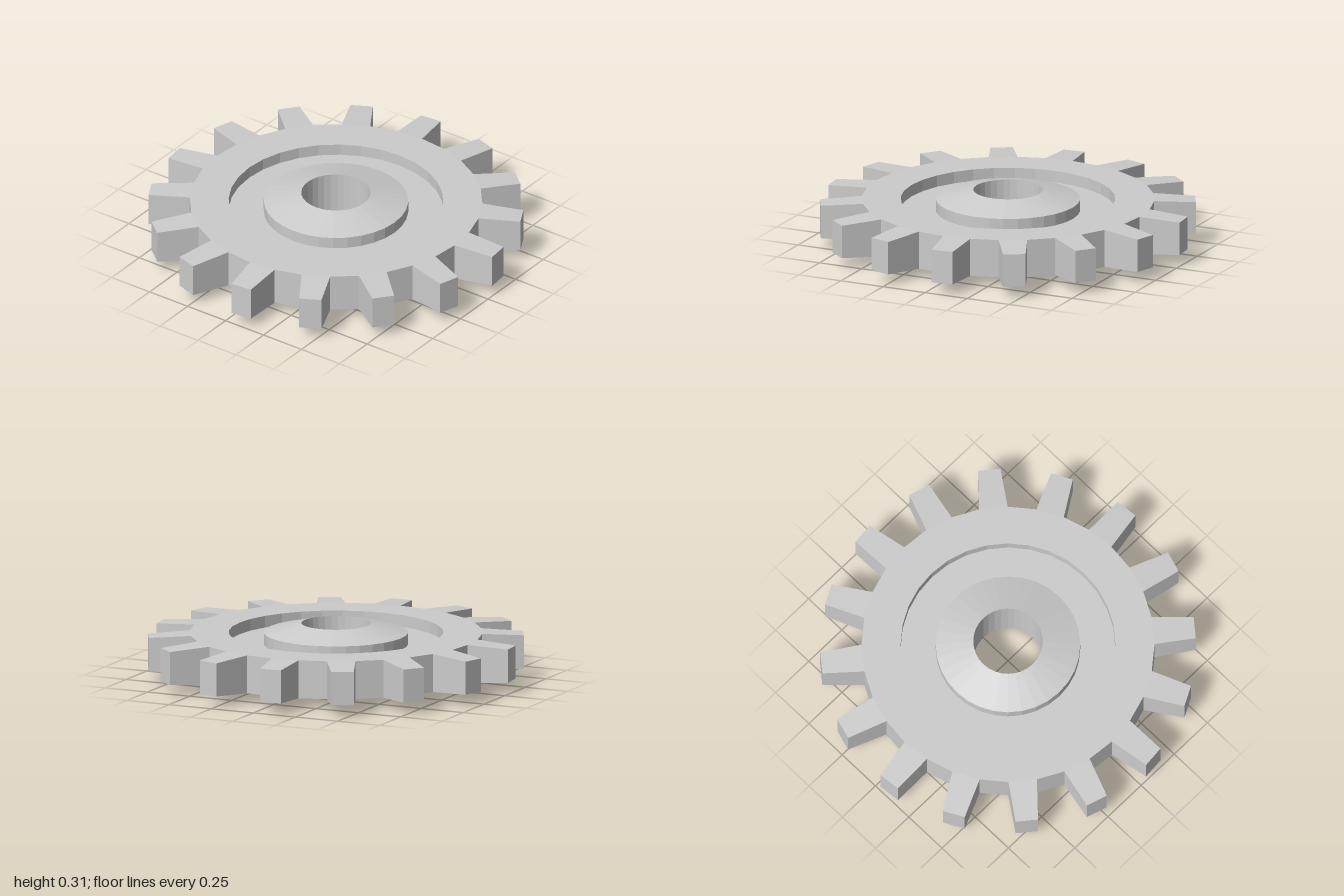
import * as THREE from 'three';

const TEETH = 16, STEP = Math.PI / TEETH;   // one tooth or one gap per step
const MID = 0.153;                          // height of the mid plane
const ROOT = 0.78, ROOT_H = 0.103;          // rim radius, half thickness
const TIP = 0.999, TIP_H = 0.09, TIP_W = 0.06;

// Flat quads, corners counter-clockwise from outside
function quads(list) {
  const pos = [];
  for (const [a, b, c, d] of list) pos.push(...a, ...b, ...c, ...a, ...c, ...d);
  const g = new THREE.BufferGeometry();
  g.setAttribute('position', new THREE.Float32BufferAttribute(pos, 3));
  g.computeVertexNormals();
  return g;
}

// Rectangle facing +x: near-low, far-low, far-high, near-high
const section = (x, w, h) => [
  [x, MID - h, w], [x, MID - h, -w], [x, MID + h, -w], [x, MID + h, w],
];

export function createModel() {
  const group = new THREE.Group();
  const material = new THREE.MeshStandardMaterial({ color: 0xcccccc, flatShading: true });
  const add = (name, geometry, angle = 0) => {
    const mesh = new THREE.Mesh(geometry, material);
    mesh.name = name;
    mesh.rotation.y = angle;
    group.add(mesh);
  };

  // Disc: rim, recess, raised conical hub and bore, mirrored below
  const half = [[ROOT, ROOT_H], [0.572, ROOT_H], [0.572, 0.04], [0.385, 0.04], [0.385, ROOT_H], [0.185, MID]];
  const profile = [...half, ...half.map(([r, h]) => [r, -h]).reverse()]
    .map(([r, h]) => new THREE.Vector2(r, MID + h));
  add('disc', new THREE.LatheGeometry(profile, TEETH * 2));

  // Tapered tooth and the rim wall between teeth
  const r = section(ROOT * Math.cos(STEP / 2), ROOT * Math.sin(STEP / 2), ROOT_H);
  const t = section(TIP, TIP_W, TIP_H);
  const sides = r.map((_, i) => {
    const j = (i + 1) % 4;
    return [r[i], r[j], t[j], t[i]];
  });
  const tooth = quads([t, ...sides]);
  const wall = quads([r]);
  for (let i = 0; i < TEETH; i++) {
    const angle = STEP * (2 * i + 0.5);
    add('tooth', tooth, angle);
    add('rimWall', wall, angle + STEP);
  }
  return group;
}
